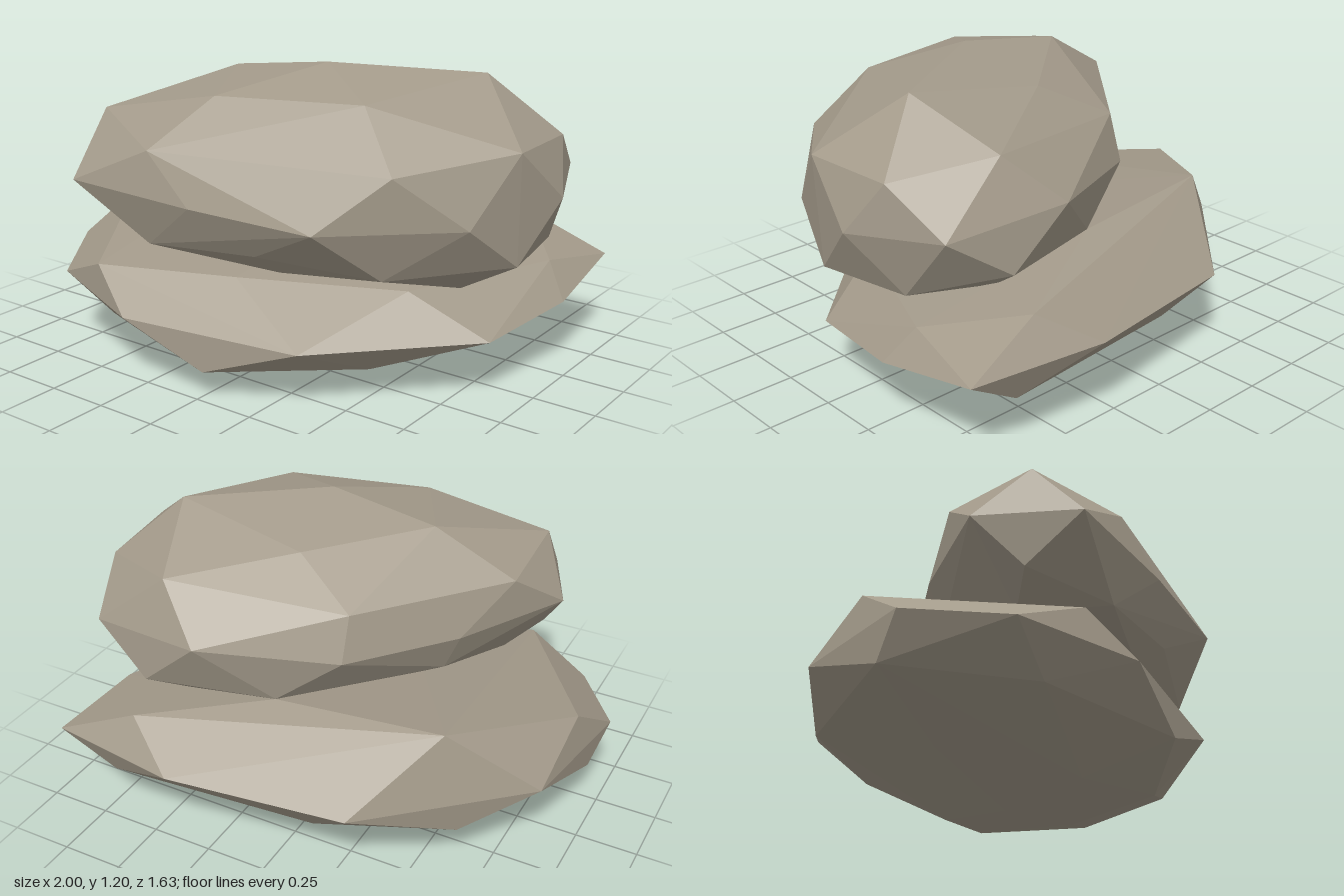
import * as THREE from 'three';
import { ConvexGeometry } from 'three/addons/geometries/ConvexGeometry.js';

const stone = new THREE.MeshStandardMaterial({ color: 0xa39a8a, flatShading: true });
stone.name = 'warm grey stone';

// A faceted boulder: the hull around a few rings of corner points [x, y, z].
function boulder(name, rings) {
  const points = Object.values(rings).flat().map((p) => new THREE.Vector3(...p));
  const mesh = new THREE.Mesh(new ConvexGeometry(points), stone);
  mesh.name = name;
  return mesh;
}

export function createModel() {
  const group = new THREE.Group();
  group.name = 'stackedRocks';

  // Wide, flat rock lying on the ground
  group.add(boulder('lowerRock', {
    top: [
      [-0.58, 0.60, -0.39], [-0.93, 0.50, 0.09], [-0.51, 0.42, 0.73], [0.03, 0.43, 0.55],
      [0.60, 0.41, 0.25], [0.86, 0.41, -0.37], [0.60, 0.49, -0.69], [0.10, 0.58, -0.45],
    ],
    rim: [
      [-1.00, 0.35, 0.32], [-0.78, 0.31, 0.65], [-0.31, 0.27, 0.81], [0.39, 0.24, 0.65],
      [0.89, 0.245, 0.15], [0.96, 0.28, -0.30], [0.93, 0.35, -0.74], [0.38, 0.35, -0.82],
      [-0.34, 0.34, -0.72], [-0.90, 0.32, -0.19],
    ],
    underside: [
      [-0.96, 0.20, 0.20], [-0.57, 0.16, 0.60], [0.02, 0.11, 0.74], [0.50, 0.11, 0.35],
      [0.80, 0.16, -0.20], [0.70, 0.21, -0.71], [-0.15, 0.19, -0.62], [-0.65, 0.19, -0.40],
    ],
    base: [
      [0.02, 0.00, -0.03], [-0.50, 0.09, 0.05], [-0.05, 0.02, 0.38],
      [0.50, 0.07, -0.05], [0.15, 0.08, -0.45],
    ],
  }));

  // Rounder rock resting on it
  group.add(boulder('upperRock', {
    crown: [
      [0.17, 1.20, 0.16], [0.68, 1.17, -0.14], [-0.28, 1.14, 0.14], [-0.08, 1.10, 0.52],
      [0.48, 1.11, 0.37], [0.12, 1.09, -0.20],
    ],
    shoulder: [
      [-0.59, 1.00, 0.57], [-0.24, 0.91, 0.72], [0.67, 0.90, 0.48], [0.95, 0.95, 0.08],
      [0.92, 0.94, -0.30], [0.56, 1.00, -0.48], [-0.15, 0.95, -0.32], [-0.60, 0.96, 0.19],
    ],
    waist: [
      [-0.73, 0.80, 0.40], [-0.57, 0.76, 0.78], [-0.03, 0.73, 0.74], [0.46, 0.70, 0.66],
      [0.87, 0.70, 0.29], [1.00, 0.74, -0.16], [0.85, 0.77, -0.53], [0.36, 0.81, -0.61],
      [-0.15, 0.77, -0.38], [-0.47, 0.78, -0.02],
    ],
    underside: [
      [-0.61, 0.60, 0.55], [-0.27, 0.54, 0.69], [0.18, 0.56, 0.62], [0.60, 0.50, 0.43],
      [0.94, 0.52, 0.06], [0.87, 0.52, -0.33], [0.60, 0.60, -0.59], [0.10, 0.58, -0.45],
      [-0.40, 0.62, 0.00],
    ],
    base: [
      [0.71, 0.39, 0.06], [0.20, 0.47, 0.50], [-0.49, 0.51, 0.42],
      [-0.25, 0.50, 0.08], [0.50, 0.46, -0.38],
    ],
  }));

  return group;
}
